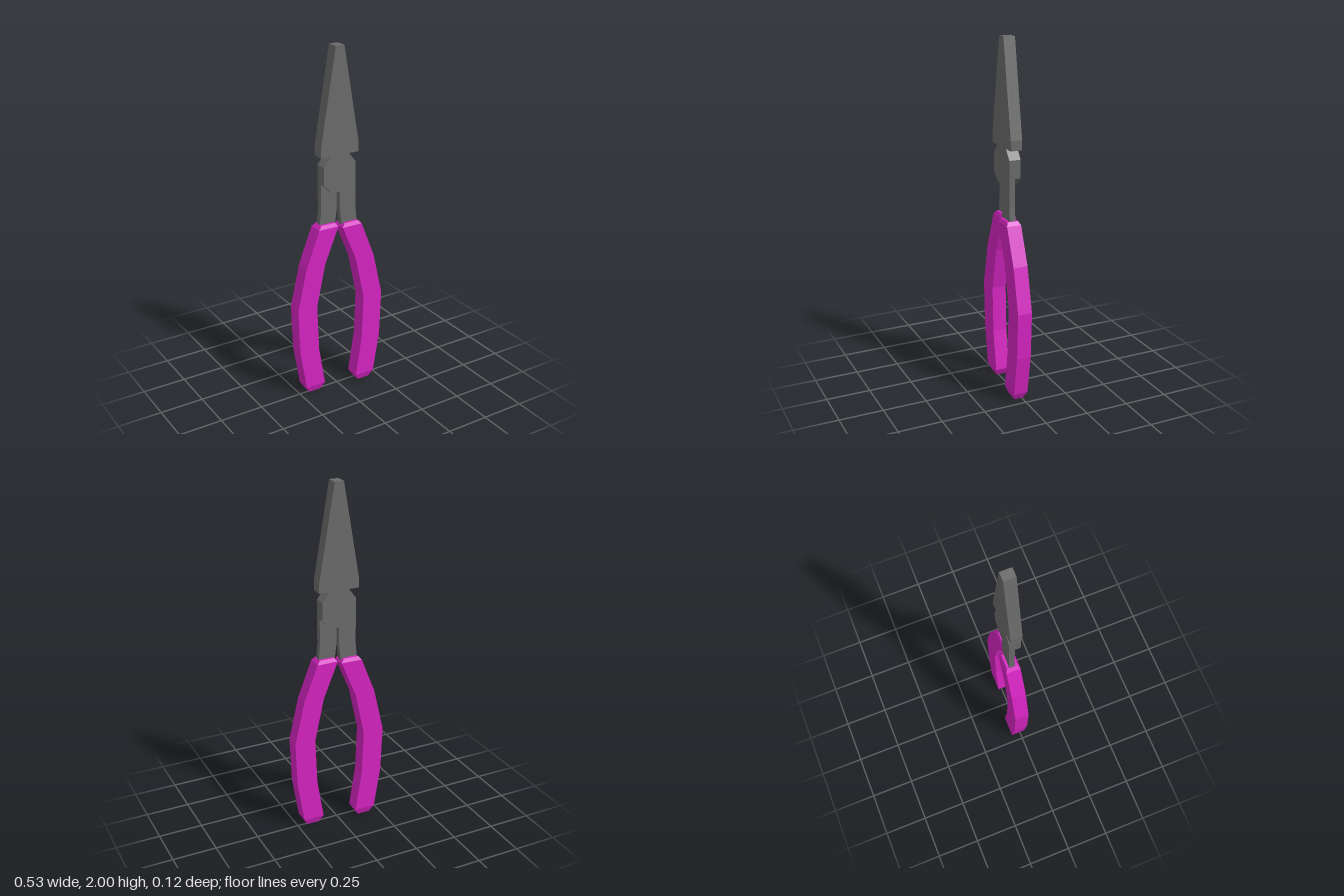
import * as THREE from 'three';

const steel = new THREE.MeshStandardMaterial({ color: 0x6a6a6a, flatShading: true });
const grip = new THREE.MeshStandardMaterial({ color: 0xd424c0, flatShading: true });
const LAYER = 0.033; // thickness of each steel half

// Steel half: jaw face, pivot plate and one shank, as a flat plate
function jawPlate() {
  const outline = [
    [0.026, 2], [-0.026, 2], [-0.117, 1.47], [-0.117, 1.415], [-0.058, 1.415],
    [-0.1, 1.36], [-0.1, 1.258], [-0.053, 1.21], [0, 1.207], [0, 1.1],
    [0.012, 1.0], [0.11, 1.0], [0.1, 1.1], [0.1, 1.36], [0.058, 1.415],
    [0.117, 1.415], [0.117, 1.47],
  ];
  const shape = new THREE.Shape(outline.map(([x, y]) => new THREE.Vector2(x, y)));
  return new THREE.ExtrudeGeometry(shape, { depth: LAYER, bevelEnabled: false });
}

// Grip: rectangular sections swept down the bowed handle, tapered at both ends
function gripGeometry() {
  const sections = [ // y, inner x, outer x, half depth
    [0, 0.12, 0.193, 0.026], [0.042, 0.096, 0.217, 0.0415], [0.28, 0.134, 0.256, 0.0415],
    [0.545, 0.144, 0.266, 0.0415], [0.795, 0.09, 0.208, 0.0415],
    [1.003, 0.004, 0.126, 0.0415], [1.023, 0.021, 0.108, 0.031],
  ];
  const positions = [];
  const index = [];
  const midZ = LAYER / 2;
  for (const [y, a, b, h] of sections) {
    positions.push(a, y, midZ + h, b, y, midZ + h, b, y, midZ - h, a, y, midZ - h);
  }
  for (let i = 0; i < sections.length - 1; i++) {
    for (let k = 0; k < 4; k++) {
      const p = i * 4 + k, q = i * 4 + (k + 1) % 4;
      index.push(p, q, q + 4, p, q + 4, p + 4);
    }
  }
  const t = (sections.length - 1) * 4;
  index.push(0, 2, 1, 0, 3, 2, t, t + 1, t + 2, t, t + 2, t + 3); // end caps
  const geometry = new THREE.BufferGeometry();
  geometry.setAttribute('position', new THREE.Float32BufferAttribute(positions, 3));
  geometry.setIndex(index);
  const flat = geometry.toNonIndexed();
  flat.computeVertexNormals();
  return flat;
}

export function createModel() {
  const pliers = new THREE.Group();
  pliers.name = 'pliers';
  const plate = jawPlate();
  const handle = gripGeometry();
  // The two halves are the same piece, turned half a revolution
  for (const [side, turn] of [['left', 0], ['right', Math.PI]]) {
    const half = new THREE.Group();
    half.name = side + 'Half';
    const jaw = new THREE.Mesh(plate, steel);
    jaw.name = side + 'Jaw';
    const sleeve = new THREE.Mesh(handle, grip);
    sleeve.name = side + 'Grip';
    half.add(jaw, sleeve);
    half.rotation.y = turn;
    pliers.add(half);
  }
  return pliers;
}
